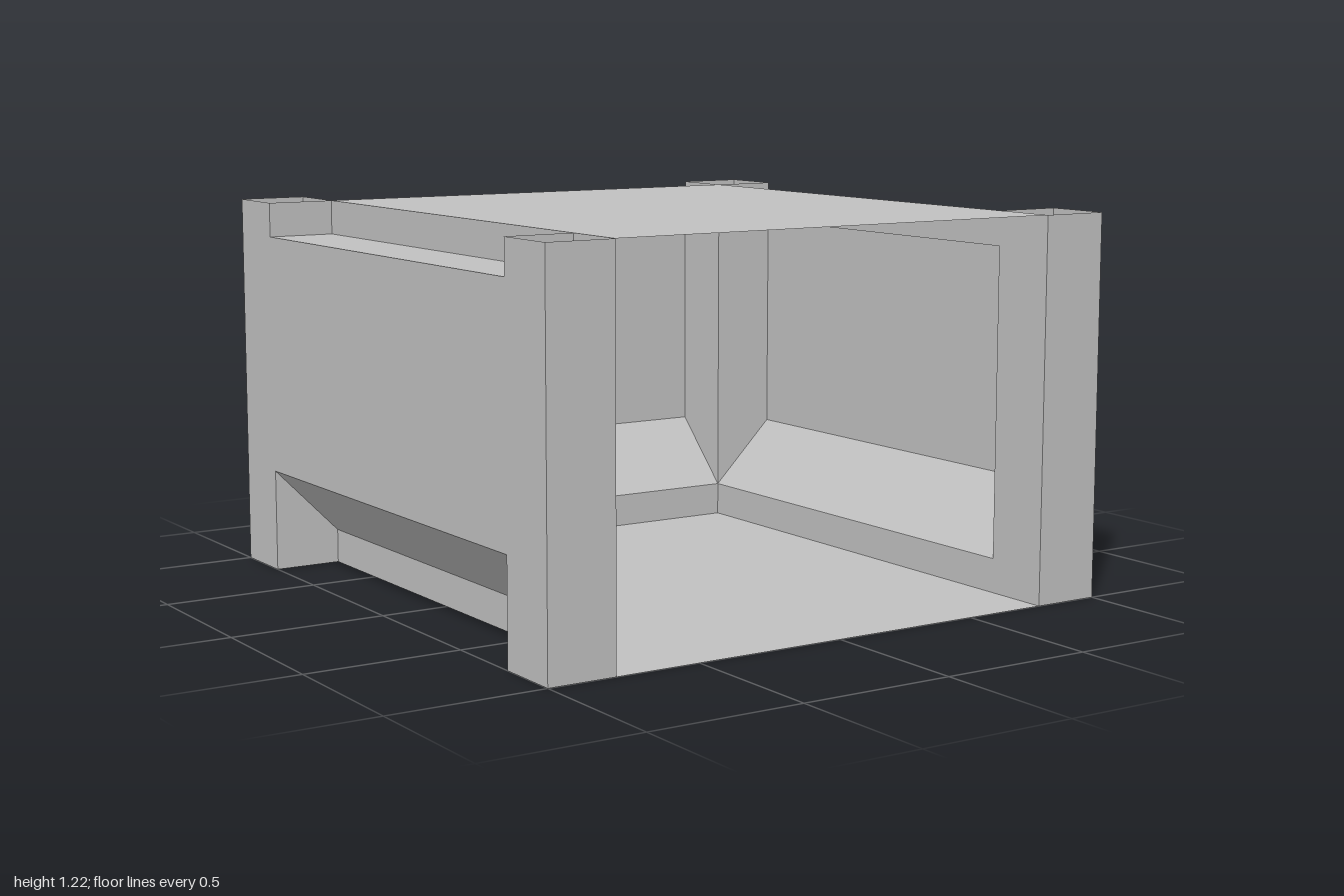
import * as THREE from 'three';

const OUT = 1;        // outer half width
const IN = 0.778;     // half width between the corner posts
const TOP = 1.222;
const LEDGE = 1.111;  // height of the recessed rim

// Sheet swept from a path of [x, y, z] points along one vector, flat shaded
function ribbon(path, sweep) {
  const s = new THREE.Vector3(...sweep);
  const pts = path.map((p) => new THREE.Vector3(...p));
  const pos = [];
  for (let i = 0; i < pts.length - 1; i++) {
    const a = pts[i], c = pts[i + 1];
    const b = a.clone().add(s), d = c.clone().add(s);
    for (const v of [a, b, c, b, d, c]) pos.push(v.x, v.y, v.z);
  }
  const geo = new THREE.BufferGeometry();
  geo.setAttribute('position', new THREE.Float32BufferAttribute(pos, 3));
  geo.computeVertexNormals();
  return geo;
}

export function createModel() {
  const group = new THREE.Group();
  const grey = new THREE.MeshStandardMaterial({ color: 0xc0c0c0, side: THREE.DoubleSide });
  grey.name = 'grey';

  const add = (name, geo, turn = 0) => {
    const mesh = new THREE.Mesh(geo, grey);
    mesh.name = name;
    mesh.rotation.y = turn;
    group.add(mesh);
  };

  // Lid and floor run from the open front to the recess at the back
  const depth = [0, 0, OUT + IN];
  add('lid', ribbon([[-IN, TOP, -IN], [IN, TOP, -IN]], depth));
  add('floor', ribbon([[IN, 0, -IN], [-IN, 0, -IN]], depth));

  // Folded wall: rim step, ledge, outer wall, sloped underside, base strip
  const wall = ribbon(
    [[IN, TOP], [IN, LEDGE], [OUT, LEDGE], [OUT, 0.333], [IN, 0.111], [IN, 0]]
      .map(([x, y]) => [x, y, -IN]),
    [0, 0, 2 * IN]
  );
  add('leftWall', wall);
  add('backWall', wall, Math.PI / 2);
  add('rightWall', wall, Math.PI);

  // Square hollow corner posts, open at both ends
  const post = ribbon(
    [[OUT, 0, IN], [OUT, 0, OUT], [IN, 0, OUT], [IN, 0, IN], [OUT, 0, IN]],
    [0, TOP, 0]
  );
  ['frontLeftPost', 'backLeftPost', 'backRightPost', 'frontRightPost']
    .forEach((name, i) => add(name, post, i * Math.PI / 2));

  return group;
}
